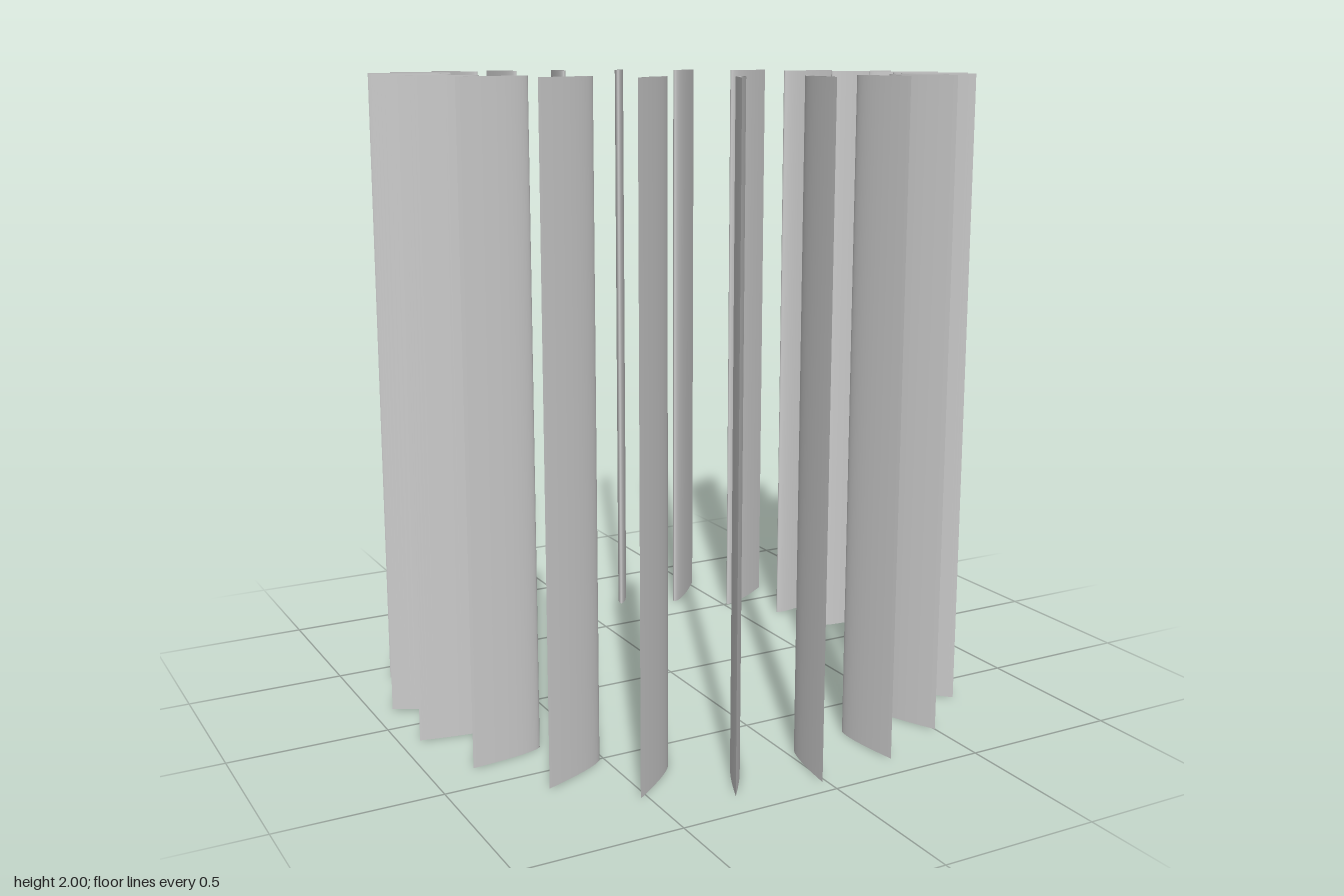
import * as THREE from 'three';

const BLADES = 22;
const HEIGHT = 2;
const INNER_RADIUS = 0.717, OUTER_RADIUS = 0.946;
const INNER_ANGLE = THREE.MathUtils.degToRad(-3.3);
const OUTER_ANGLE = THREE.MathUtils.degToRad(0.8);
const THICKNESS = 0.12; // fraction of the chord

// Point on the ring, measured clockwise from the back as seen from above
const ringPoint = (radius, angle) =>
  new THREE.Vector3(radius * Math.sin(angle), HEIGHT / 2, -radius * Math.cos(angle));

// Half thickness of a symmetric aerofoil at u (0 = round nose, 1 = tail)
const halfThickness = (u) => 5 * THICKNESS *
  (0.2969 * Math.sqrt(u) - 0.126 * u - 0.3516 * u ** 2 + 0.2843 * u ** 3 - 0.1036 * u ** 4);

// Open-ended tube squeezed into an aerofoil: nose at the origin, tail along +z
function bladeGeometry(chord) {
  const geometry = new THREE.CylinderGeometry(1, 1, HEIGHT, 48, 1, true);
  const pos = geometry.attributes.position;
  for (let i = 0; i < pos.count; i++) {
    const u = THREE.MathUtils.clamp((1 + pos.getZ(i)) / 2, 0, 1);
    const side = Math.sign(pos.getX(i));
    pos.setX(i, side * chord * Math.max(0, halfThickness(u)));
    pos.setZ(i, u * chord);
  }
  geometry.computeVertexNormals();
  return geometry;
}

export function createModel() {
  const group = new THREE.Group();
  group.name = 'bladeRing';
  const material = new THREE.MeshStandardMaterial({ color: 0xcccccc, side: THREE.DoubleSide });
  const chord = ringPoint(INNER_RADIUS, INNER_ANGLE).distanceTo(ringPoint(OUTER_RADIUS, OUTER_ANGLE));
  const geometry = bladeGeometry(chord);

  // Upright blades, nose inward, each slightly skewed from radial
  for (let i = 0; i < BLADES; i++) {
    const turn = (i / BLADES) * Math.PI * 2;
    const nose = ringPoint(INNER_RADIUS, turn + INNER_ANGLE);
    const tail = ringPoint(OUTER_RADIUS, turn + OUTER_ANGLE);
    const blade = new THREE.Mesh(geometry, material);
    blade.name = `blade${i + 1}`;
    blade.position.copy(nose);
    blade.rotation.y = Math.atan2(tail.x - nose.x, tail.z - nose.z);
    group.add(blade);
  }
  return group;
}
